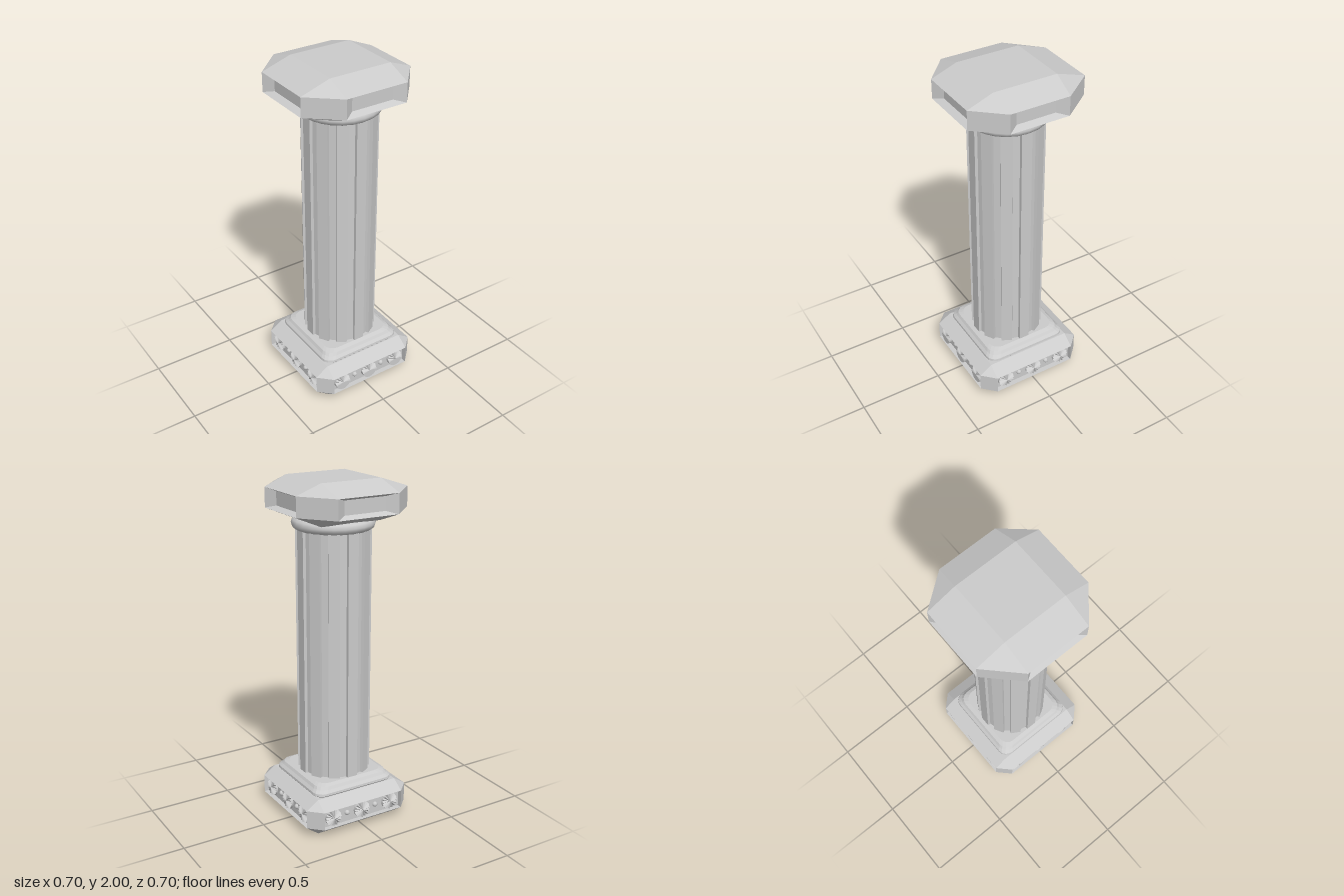
import * as THREE from 'three';

const grey = new THREE.MeshStandardMaterial({ color: 0xcccccc });
const flat = new THREE.MeshStandardMaterial({ color: 0xcccccc, flatShading: true });
const CX = 0.011, CZ = 0.012; // axis of the shaft and base

function polyGeometry(polys) {
  const pos = [];
  for (const p of polys)
    for (let k = 1; k < p.length - 1; k++) pos.push(...p[0], ...p[k], ...p[k + 1]);
  const g = new THREE.BufferGeometry();
  g.setAttribute('position', new THREE.Float32BufferAttribute(pos, 3));
  g.computeVertexNormals();
  return g;
}

function add(parent, name, geometry, material = flat) {
  const m = new THREE.Mesh(geometry, material);
  m.name = name;
  parent.add(m);
  return m;
}

// Block with chamfered edges and a sunken panel on each of its four sides.
// square: four corners of top and bottom, ring: eight corners of the girdle, ys: four heights
function chamferedBlock(square, ring, ys, insetX, insetY, depth) {
  const polys = [];
  const at = ([x, z], y) => [x, y, z];
  const inward = [[0, -1], [-1, 0], [0, 1], [1, 0]];
  const [y0, y1, y2, y3] = ys;
  polys.push(square.map(c => at(c, y3)), square.map(c => at(c, y0)).reverse());
  for (let j = 0; j < 4; j++) {
    const a = ring[2 * j], b = ring[2 * j + 1], c = ring[(2 * j + 2) % 8];
    const s = square[j], t = square[(j + 1) % 4];
    // sloping faces, corner triangles and corner wall
    polys.push([at(a, y2), at(b, y2), at(t, y3), at(s, y3)]);
    polys.push([at(s, y0), at(t, y0), at(b, y1), at(a, y1)]);
    polys.push([at(b, y2), at(c, y2), at(t, y3)], [at(t, y0), at(c, y1), at(b, y1)]);
    polys.push([at(b, y1), at(c, y1), at(c, y2), at(b, y2)]);
    // sunken panel
    const len = Math.hypot(b[0] - a[0], b[1] - a[1]);
    const f = insetX / len, n = inward[j];
    const along = u => [a[0] + (b[0] - a[0]) * u + n[0] * depth, a[1] + (b[1] - a[1]) * u + n[1] * depth];
    const outer = [at(a, y1), at(b, y1), at(b, y2), at(a, y2)];
    const inner = [at(along(f), y1 + insetY), at(along(1 - f), y1 + insetY),
      at(along(1 - f), y2 - insetY), at(along(f), y2 - insetY)];
    for (let k = 0; k < 4; k++) {
      const m = (k + 1) % 4;
      polys.push([outer[k], outer[m], inner[m], inner[k]]);
    }
    polys.push(inner);
  }
  return polyGeometry(polys);
}

// Round ornament of radiating ridges; with halfPlain its lower half is a flat disc
function rosetteGeometry(radius, height, halfPlain) {
  const n = 32, polys = [];
  const rim = i => {
    const t = (i % n) / n * Math.PI * 2;
    const plain = halfPlain && Math.sin(t) < -0.01;
    const z = plain ? height : height * (i % 2 ? 0.3 : 0.8);
    return [Math.cos(t) * radius, Math.sin(t) * radius, z];
  };
  for (let i = 0; i < n; i++) {
    const p = rim(i), q = rim(i + 1);
    polys.push([[0, 0, height], p, q]);
    polys.push([[p[0], p[1], 0], [q[0], q[1], 0], q, p]);
  }
  return polyGeometry(polys);
}

// Rounded square moulding lofted through [half width, height] pairs
function squareMoulding(profile, corner) {
  const steps = 4, rings = profile.map(([h, y]) => {
    const pts = [];
    for (let q = 0; q < 4; q++)
      for (let k = 0; k <= steps; k++) {
        const t = (q + k / steps) * Math.PI / 2;
        const sx = q === 0 || q === 3 ? 1 : -1, sz = q < 2 ? 1 : -1;
        pts.push([sx * (h - corner) + Math.cos(t) * corner, y, sz * (h - corner) + Math.sin(t) * corner]);
      }
    return pts.reverse();
  });
  const polys = [rings[rings.length - 1]];
  for (let r = 0; r < rings.length - 1; r++)
    rings[r].forEach((p, i) => {
      const j = (i + 1) % rings[r].length;
      polys.push([p, rings[r][j], rings[r + 1][j], rings[r + 1][i]]);
    });
  return polyGeometry(polys);
}

export function createModel() {
  const model = new THREE.Group();
  model.name = 'column';
  const body = new THREE.Group();
  body.name = 'shaftAndBase';
  body.position.set(CX, 0, CZ);
  model.add(body);

  // Base block
  const H = 0.338, S = 0.263;
  add(body, 'baseBlock', chamferedBlock(
    [[-S, S], [S, S], [S, -S], [-S, -S]],
    [[-S, H], [S, H], [H, S], [H, -S], [S, -H], [-S, -H], [-H, -S], [-H, S]],
    [0, 0.055, 0.165, 0.215], 0, 0, 0.03));

  // Rosettes and beads in the sunken panels
  const ridged = rosetteGeometry(0.05, 0.025, false);
  const halfRidged = rosetteGeometry(0.05, 0.025, true);
  const beadGeometry = new THREE.SphereGeometry(0.016, 12, 8);
  for (let j = 0; j < 4; j++) {
    const side = new THREE.Group();
    side.name = 'panelOrnaments';
    side.rotation.y = j * Math.PI / 2;
    body.add(side);
    for (const x of [-0.193, 0, 0.193])
      add(side, 'rosette', j === 0 ? halfRidged : ridged).position.set(x, 0.11, H - 0.03);
    for (const x of [-0.096, 0.096])
      add(side, 'bead', beadGeometry, grey).position.set(x, 0.11, H - 0.03);
  }

  // Stepped moulding under the shaft
  add(body, 'baseMoulding', squareMoulding(
    [[0.252, 0.21], [0.262, 0.222], [0.26, 0.235], [0.245, 0.25], [0.235, 0.265], [0.212, 0.275]], 0.06));

  // Fluted shaft
  const teeth = 12, outline = [];
  for (let i = 0; i < teeth; i++)
    for (const [deg, r] of [[-8.5, 0.215], [8.5, 0.215], [9.5, 0.198], [20.5, 0.198]]) {
      const t = (i * 360 / teeth + deg) * Math.PI / 180;
      outline.push(new THREE.Vector2(Math.cos(t) * r, Math.sin(t) * r));
    }
  const shaft = new THREE.ExtrudeGeometry(new THREE.Shape(outline), { depth: 1.48, bevelEnabled: false });
  shaft.rotateX(-Math.PI / 2);
  add(body, 'flutedShaft', shaft).position.y = 0.27;

  // Neck ring
  const ring = new THREE.TorusGeometry(0.202, 0.034, 10, 24);
  ring.rotateX(Math.PI / 2);
  add(body, 'neckRing', ring, grey).position.y = 1.748;

  // Capital, slightly irregular in plan
  add(model, 'capital', chamferedBlock(
    [[-0.175, 0.2], [0.2, 0.2], [0.2, -0.177], [-0.175, -0.177]],
    [[-0.175, 0.35], [0.2, 0.35], [0.343, 0.187], [0.343, -0.165],
      [0.2, -0.352], [-0.175, -0.352], [-0.35, -0.178], [-0.35, 0.2]],
    [1.77, 1.83, 1.943, 2], 0.06, 0.017, 0.04));

  return model;
}
